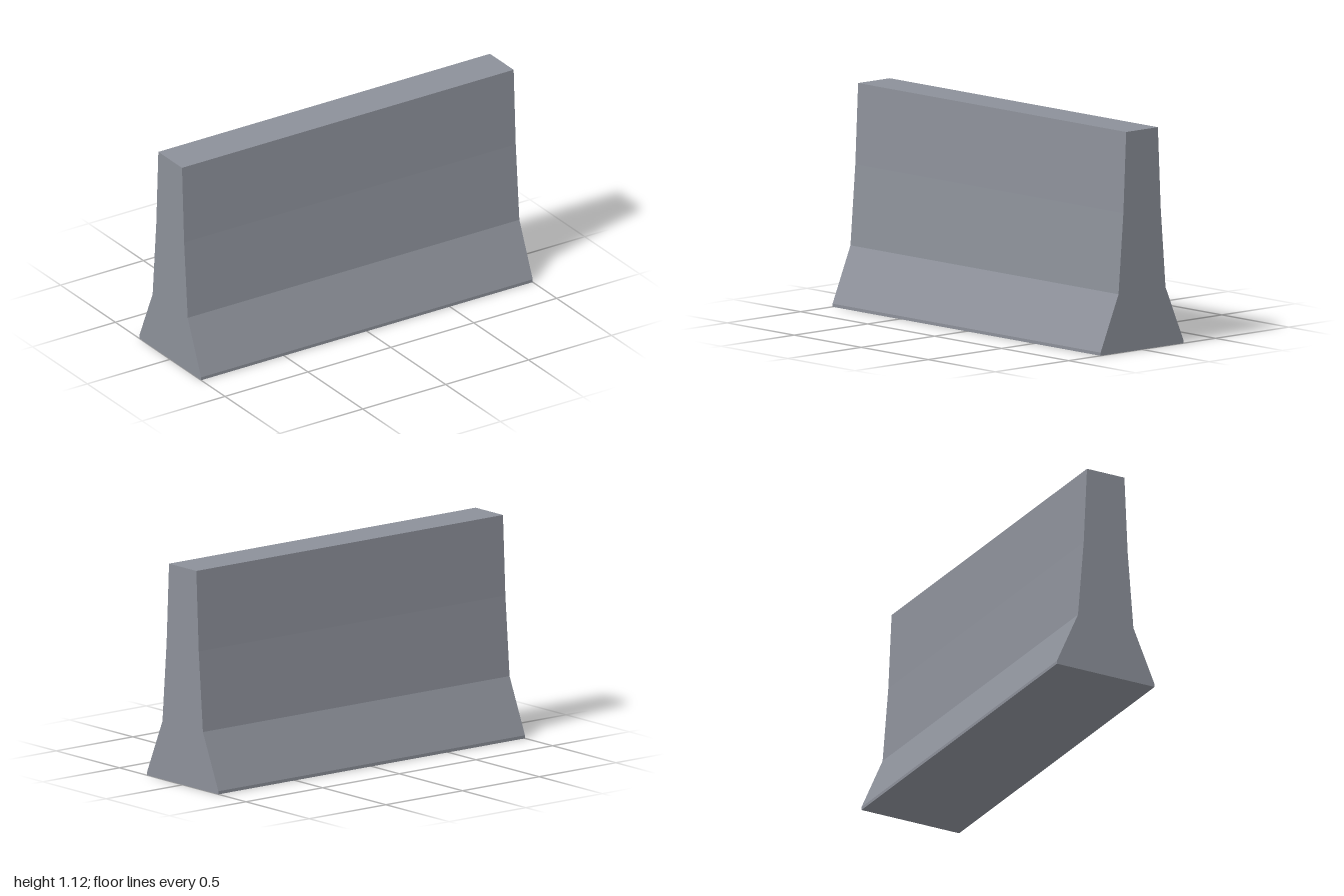
import * as THREE from 'three';

export function createModel() {
  const group = new THREE.Group();
  group.name = 'roadBarrier';

  const concrete = new THREE.MeshStandardMaterial({ color: 0x8c9099 });
  concrete.name = 'concrete grey';

  // Half cross-section from base to top: [half depth, height]
  const half = [[0.282, 0], [0.282, 0.016], [0.16, 0.3], [0.127, 0.71], [0.108, 1.122]];
  const mirrored = half.map(([d, y]) => [-d, y]).reverse();
  const profile = new THREE.Shape([...half, ...mirrored].map(([d, y]) => new THREE.Vector2(d, y)));

  // Barrier body: the symmetric section swept along x
  const length = 2;
  const geometry = new THREE.ExtrudeGeometry(profile, { depth: length, bevelEnabled: false });
  geometry.translate(0, 0, -length / 2);
  geometry.rotateY(Math.PI / 2);

  const body = new THREE.Mesh(geometry, concrete);
  body.name = 'barrierBody';
  group.add(body);
  return group;
}
